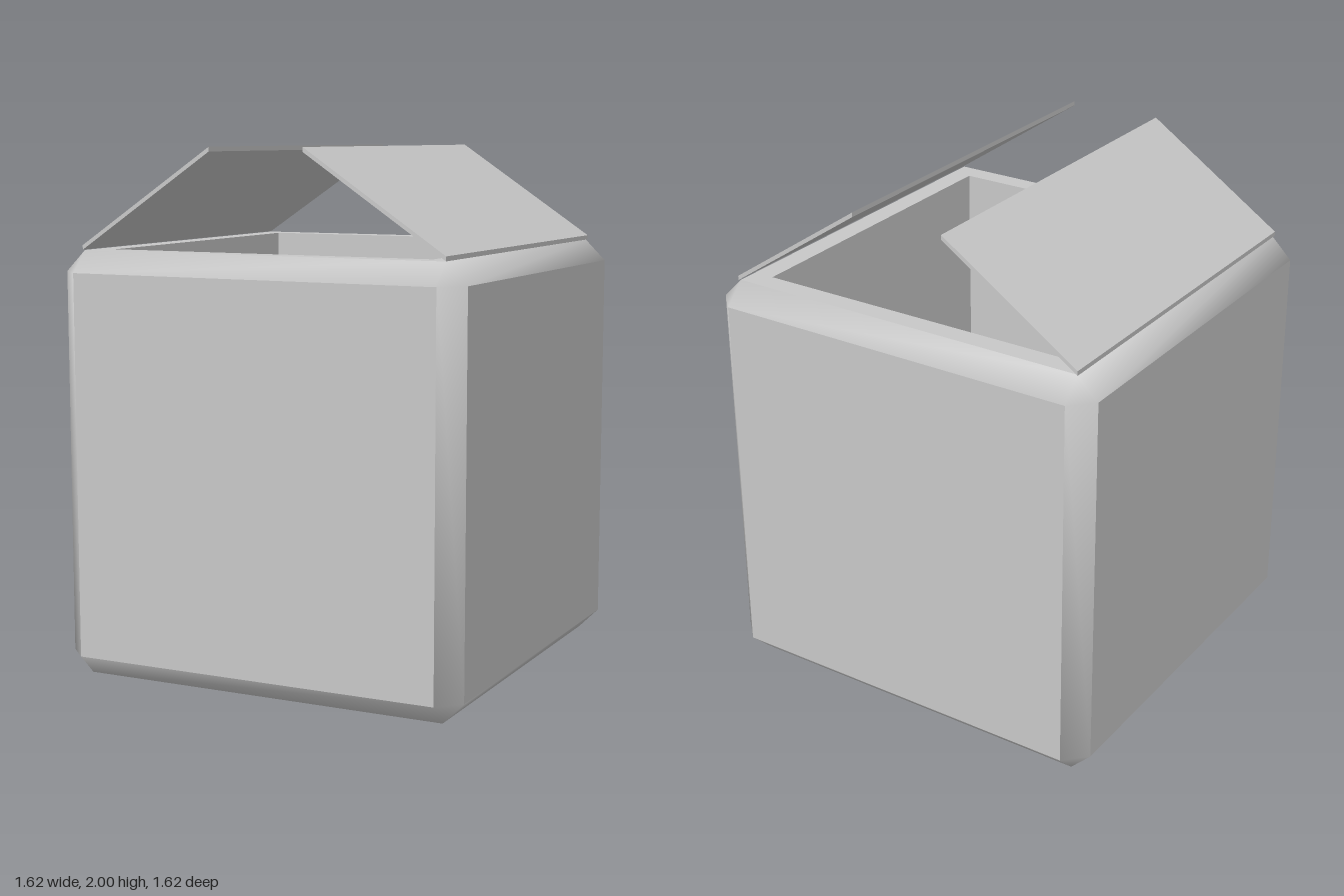
import * as THREE from 'three';
import { mergeVertices } from 'three/addons/utils/BufferGeometryUtils.js';

const H = 0.809;  // half size of the carton
const P = 0.728;  // half size of each flat panel inside the bevels
const C = 0.646;  // half size of the hollow inside

// Builds flat-sided geometry from polygons, each wound to face away from the centre
function facesGeometry(polygons, inward = false) {
  const pos = [];
  for (const poly of polygons) {
    const p = poly.map(q => new THREE.Vector3(...q));
    const n = p[1].clone().sub(p[0]).cross(p[2].clone().sub(p[0]));
    const outward = n.dot(p[0].clone().add(p[2])) > 0;
    if (outward === inward) p.reverse();
    for (let i = 1; i < p.length - 1; i++) {
      for (const v of [p[0], p[i], p[i + 1]]) pos.push(v.x, v.y, v.z);
    }
  }
  const g = new THREE.BufferGeometry();
  g.setAttribute('position', new THREE.Float32BufferAttribute(pos, 3));
  return g;
}

// Point with coordinates a, b, c along axes i, j, k
function at(i, a, j, b, k, c) {
  const p = [0, 0, 0];
  p[i] = a; p[j] = b; p[k] = c;
  return p;
}

export function createModel() {
  const group = new THREE.Group();
  group.name = 'openCarton';

  const cardboard = new THREE.MeshStandardMaterial({ color: 0xc8c8c8 });
  cardboard.name = 'cardboard grey';

  const add = (name, geometry, parent) => {
    if (!geometry.attributes.normal) geometry.computeVertexNormals();
    const mesh = new THREE.Mesh(geometry, cardboard);
    mesh.name = name;
    parent.add(mesh);
  };

  const carton = new THREE.Group();
  carton.name = 'carton';
  carton.position.y = H;
  group.add(carton);

  // Flat outer panels (the top is left open) and edge bevels
  const panels = [], bevels = [];
  for (let i = 0; i < 3; i++) {
    const j = (i + 1) % 3, k = (i + 2) % 3;
    for (const s of [-1, 1]) {
      if (!(i === 1 && s === 1)) {
        panels.push([[-P, -P], [P, -P], [P, P], [-P, P]].map(([u, v]) => at(i, s * H, j, u, k, v)));
      }
      for (const t of [-1, 1]) {
        bevels.push([
          at(i, s * H, j, t * P, k, -P), at(i, s * H, j, t * P, k, P),
          at(i, s * P, j, t * H, k, P), at(i, s * P, j, t * H, k, -P),
        ]);
      }
    }
  }
  // Corner triangles
  for (const x of [-1, 1]) for (const y of [-1, 1]) for (const z of [-1, 1]) {
    bevels.push([[x * H, y * P, z * P], [x * P, y * H, z * P], [x * P, y * P, z * H]]);
  }
  add('outerPanels', facesGeometry(panels), carton);
  // Bevels and corners share smooth normals but stay crisp against the panels
  add('bevelledEdges', mergeVertices(facesGeometry(bevels)), carton);

  // Top rim around the square opening
  const square = r => [[-r, -r], [r, -r], [r, r], [-r, r]].map(([x, y]) => new THREE.Vector2(x, y));
  const rimShape = new THREE.Shape(square(P));
  rimShape.holes.push(new THREE.Path(square(C).reverse()));
  const rim = new THREE.ShapeGeometry(rimShape);
  rim.rotateX(-Math.PI / 2);
  rim.translate(0, H, 0);
  add('topRim', rim, carton);

  // Inner walls and floor, facing into the carton
  const inside = [[[-C, -C, -C], [C, -C, -C], [C, -C, C], [-C, -C, C]]];
  for (const s of [-1, 1]) {
    inside.push([[s * C, -C, -C], [s * C, -C, C], [s * C, H, C], [s * C, H, -C]]);
    inside.push([[-C, -C, s * C], [C, -C, s * C], [C, H, s * C], [-C, H, s * C]]);
  }
  add('innerWalls', facesGeometry(inside, true), carton);

  // Two thin lid flaps with upright ends, leaning inwards
  const profile = [[0.732, 1.619], [0.732, 1.636], [0.188, 2], [0.188, 1.983]];
  for (const s of [-1, 1]) {
    const shape = new THREE.Shape(profile.map(([x, y]) => new THREE.Vector2(s * x, y)));
    const flap = new THREE.ExtrudeGeometry(shape, { depth: 1.474, bevelEnabled: false });
    flap.translate(0, 0, -0.737);
    add(s > 0 ? 'leftFlap' : 'rightFlap', flap, group);
  }
  return group;
}
